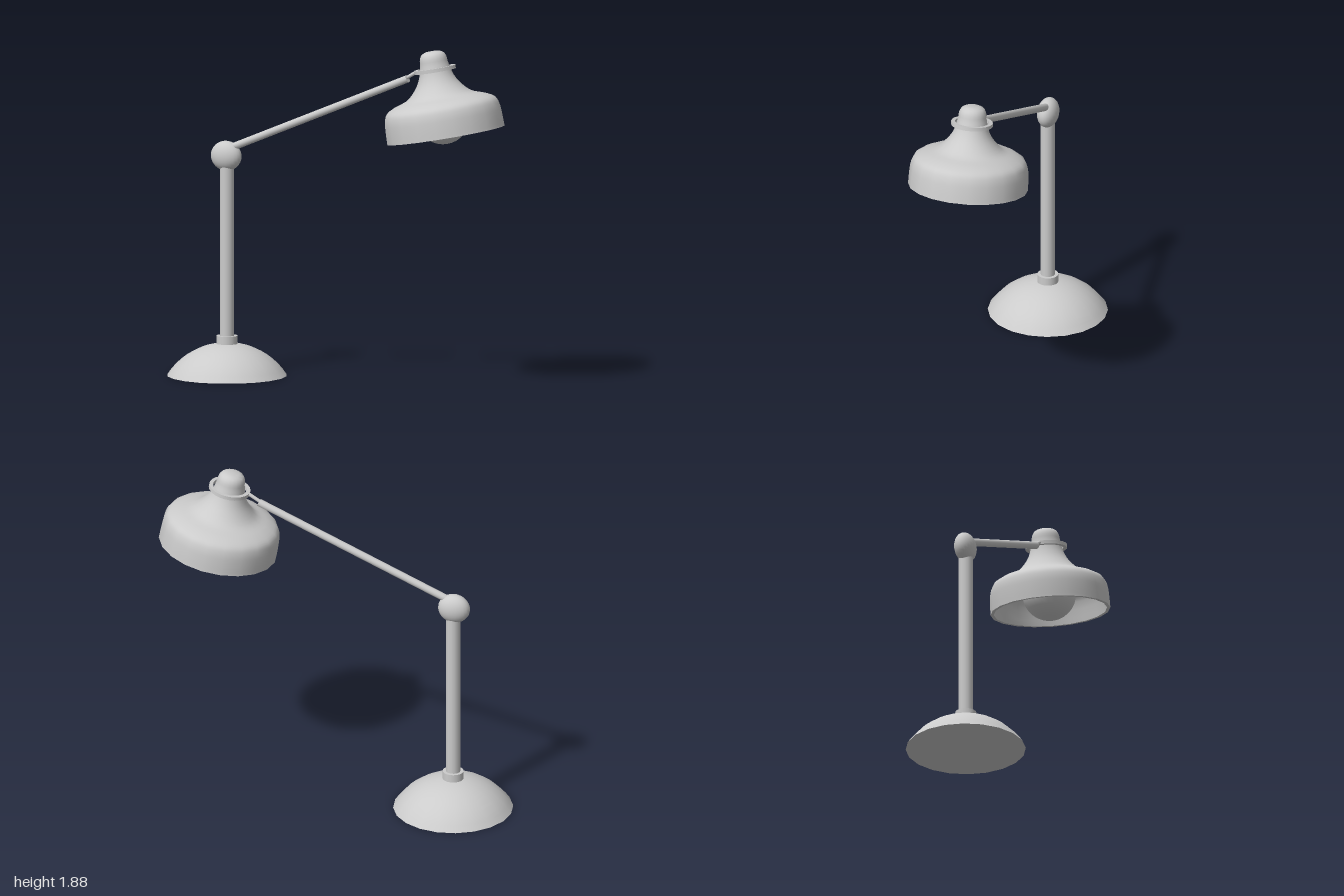
import * as THREE from 'three';
import { toCreasedNormals } from 'three/addons/utils/BufferGeometryUtils.js';

const material = new THREE.MeshStandardMaterial({ color: 0xcccccc });
const v = (x, y) => new THREE.Vector2(x, y);

function part(parent, name, geometry, x = 0, y = 0, z = 0) {
  const mesh = new THREE.Mesh(geometry, material);
  mesh.name = name;
  mesh.position.set(x, y, z);
  parent.add(mesh);
  return mesh;
}

// Turned shape, smooth except at sharp profile corners
const turned = (points, sides = 20) => toCreasedNormals(new THREE.LatheGeometry(points, sides), 0.65);
const spline = (points, n) => new THREE.SplineCurve(points.map(([r, y]) => v(r, y))).getPoints(n);

// Cylinder between two points in the x-y plane
function rod(parent, name, [x0, y0], [x1, y1], radius) {
  const geometry = new THREE.CylinderGeometry(radius, radius, Math.hypot(x1 - x0, y1 - y0), 14);
  const mesh = part(parent, name, geometry, (x0 + x1) / 2, (y0 + y1) / 2);
  mesh.rotation.z = -Math.atan2(x1 - x0, y1 - y0);
}

export function createModel() {
  const lamp = new THREE.Group();
  lamp.name = 'deskLamp';
  const postX = -0.67;

  // Domed base: a spherical cap with a flat underside
  const capRadius = 0.393, capHeight = 0.18, rim = Math.acos(1 - capHeight / capRadius);
  const dome = [v(0, 0)];
  for (let i = 0; i <= 10; i++) {
    const a = rim * (1 - i / 10);
    dome.push(v(capRadius * Math.sin(a), capHeight - capRadius * (1 - Math.cos(a))));
  }
  part(lamp, 'base', turned(dome), postX);

  // Post, its collar and the flattened ball joint
  part(lamp, 'collar', new THREE.CylinderGeometry(0.058, 0.058, 0.06, 20), postX, 0.19);
  rod(lamp, 'post', [postX, 0.16], [postX, 1.18], 0.04);
  part(lamp, 'joint', new THREE.SphereGeometry(1, 24, 16), -0.675, 1.217).scale.set(0.09, 0.083, 0.058);

  // Arm and the thin pin that carries the shade
  rod(lamp, 'arm', [-0.65, 1.262], [0.438, 1.717], 0.021);
  rod(lamp, 'pin', [0.42, 1.715], [0.5, 1.762], 0.01);

  // Tilted head, with its origin at the centre of the shade's rim
  const head = new THREE.Group();
  head.name = 'head';
  head.position.set(0.672, 1.42, 0);
  head.rotation.z = 0.185;
  lamp.add(head);

  // Shade: inner wall down to the rim, then outer wall up to the neck and cap
  const inner = spline([[0.06, 0.27], [0.14, 0.215], [0.25, 0.175], [0.3, 0.13], [0.312, 0]], 14);
  const outer = spline([[0.33, 0], [0.328, 0.07], [0.322, 0.125], [0.304, 0.164], [0.255, 0.192],
    [0.18, 0.22], [0.125, 0.275], [0.095, 0.33], [0.081, 0.385]], 28);
  const cap = spline([[0.078, 0.4], [0.074, 0.432], [0.06, 0.455], [0.036, 0.466]], 8);
  part(head, 'shade', turned([v(0, 0.27), ...inner, ...outer, ...cap, v(0, 0.467)]));

  // Open ring clasping the neck
  const ring = [[0.094, 0.355], [0.115, 0.355], [0.115, 0.375], [0.094, 0.375], [0.094, 0.355]];
  part(head, 'neckRing', turned(ring.map(([r, y]) => v(r, y)), 24));

  // Bulb and its socket
  part(head, 'bulb', new THREE.SphereGeometry(0.148, 24, 16), 0, 0.098);
  part(head, 'socket', new THREE.CylinderGeometry(0.06, 0.06, 0.1, 16), 0, 0.25);

  return lamp;
}
